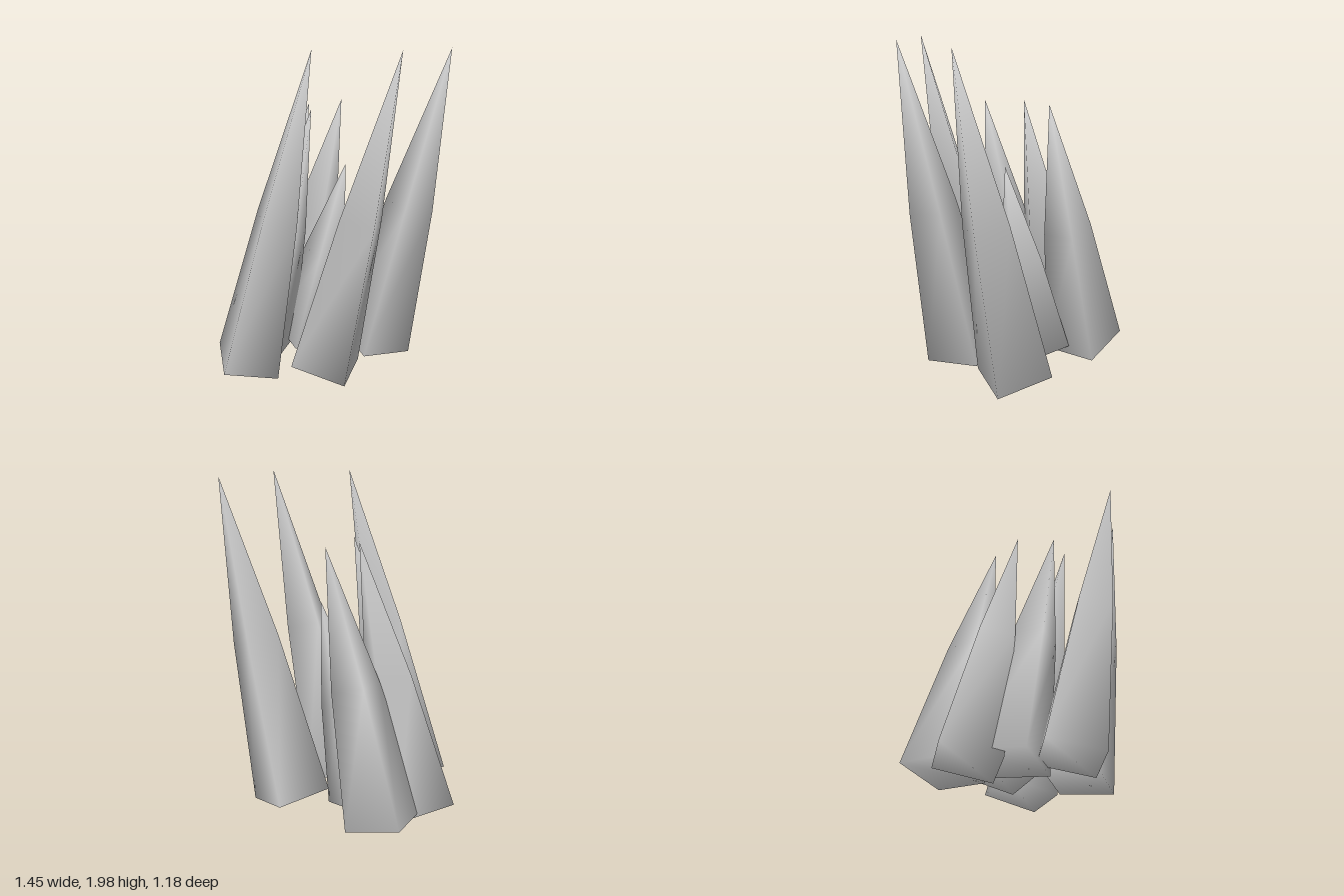
import * as THREE from 'three';

const LEAN = 0.25; // sideways run of every spike per unit of height

// Four-sided leaning spike: square base across the axis, swollen waist, sharp tip.
// tip = [x, y, z]; corner = [x, z] offset of one base corner from the base centre.
function spikeGeometry(tip, corner) {
  const baseY = 0.077;
  const height = tip[1] - baseY;
  const base = new THREE.Vector3(tip[0] - LEAN * height, baseY, tip[2]);
  const apex = new THREE.Vector3(...tip);
  const points = [];
  const index = [];

  // base and waist rings, each [distance along the axis, width]
  for (const [t, width] of [[0, 1], [0.5, 0.6]]) {
    const centre = base.clone().lerp(apex, t);
    let [x, z] = corner;
    for (let k = 0; k < 4; k++) {
      points.push(centre.x + x * width, centre.y - LEAN * x * width, centre.z + z * width);
      [x, z] = [z, -x];
    }
  }
  points.push(...tip);

  for (let k = 0; k < 4; k++) {
    const n = (k + 1) % 4;
    index.push(k, n, n + 4, k, n + 4, k + 4); // lower side
    index.push(k + 4, n + 4, 8); // upper side
  }
  index.push(0, 2, 1, 0, 3, 2); // underside

  const geometry = new THREE.BufferGeometry();
  geometry.setAttribute('position', new THREE.Float32BufferAttribute(points, 3));
  geometry.setIndex(index);
  geometry.computeVertexNormals();
  return geometry;
}

export function createModel() {
  const group = new THREE.Group();
  group.name = 'spikeCluster';
  const stone = new THREE.MeshStandardMaterial({ color: 0xcccccc });
  stone.name = 'grey stone';

  const spikes = [
    // tall spikes
    ['frontTallSpike', [0.265, 2.0, 0.365], [-0.23, 0.005]],
    ['leftTallSpike', [0.67, 2.0, 0.11], [-0.21, -0.105]],
    ['backTallSpike', [0.72, 1.985, -0.36], [-0.225, 0.075]],
    // shorter spikes
    ['backShortSpike', [-0.03, 1.63, -0.37], [-0.18, -0.155]],
    ['rightShortSpike', [-0.1, 1.63, -0.12], [-0.24, 0.025]],
    ['middleShortSpike', [0.045, 1.63, 0.06], [-0.2, -0.11]],
    ['smallestSpike', [0.13, 1.27, -0.18], [0.21, -0.07]],
  ];
  for (const [name, tip, corner] of spikes) {
    const mesh = new THREE.Mesh(spikeGeometry(tip, corner), stone);
    mesh.name = name;
    group.add(mesh);
  }
  return group;
}
